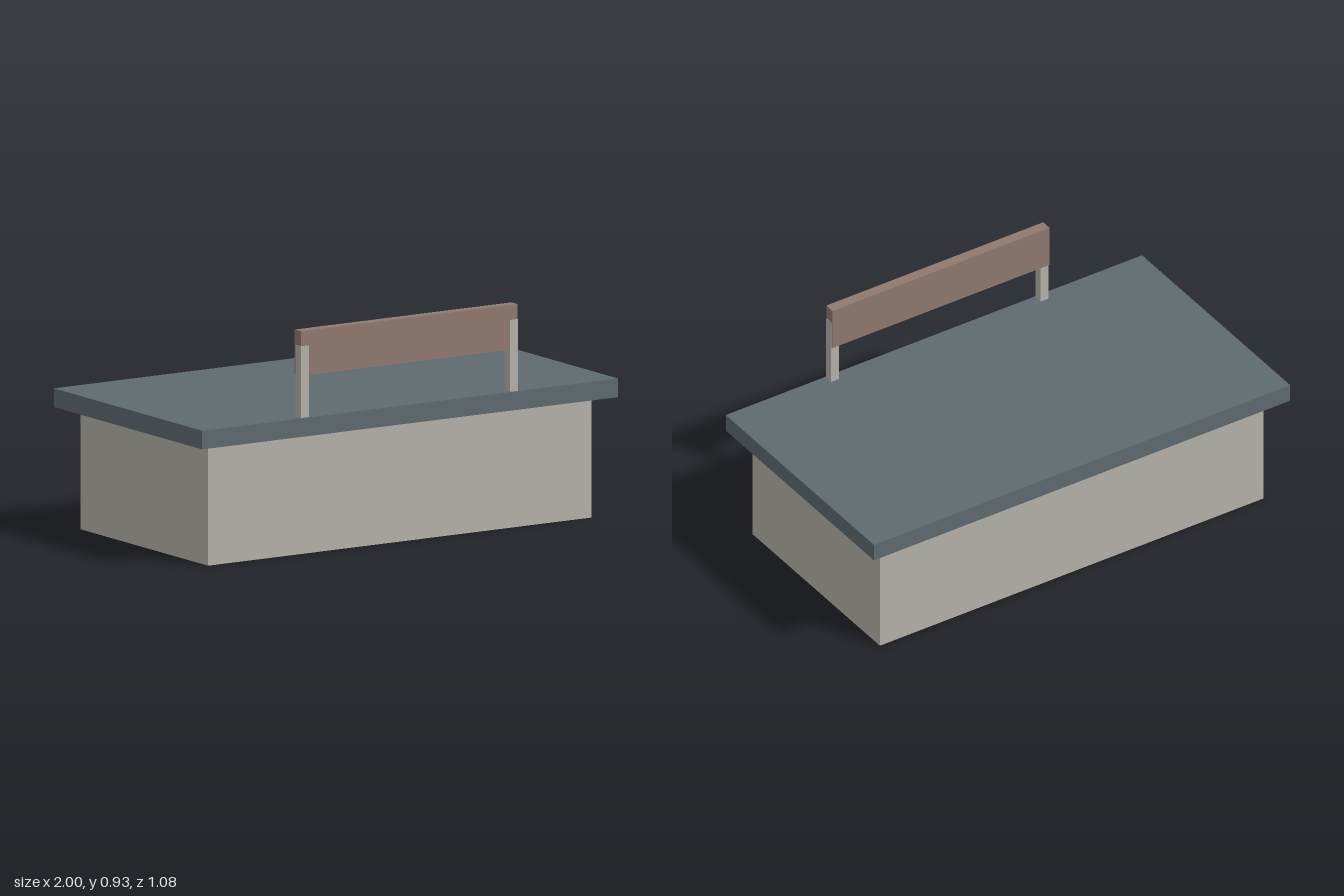
import * as THREE from 'three';

function makeMaterial(name, color) {
  const material = new THREE.MeshStandardMaterial({ color });
  material.name = name;
  return material;
}

// Box given by its minimum and maximum on each axis
function addBox(group, name, material, [x0, x1], [y0, y1], [z0, z1]) {
  const mesh = new THREE.Mesh(new THREE.BoxGeometry(x1 - x0, y1 - y0, z1 - z0), material);
  mesh.position.set((x0 + x1) / 2, (y0 + y1) / 2, (z0 + z1) / 2);
  mesh.name = name;
  group.add(mesh);
}

export function createModel() {
  const group = new THREE.Group();
  group.name = 'signedBuilding';
  const wall = makeMaterial('warm grey wall', 0xb5b2aa);
  const roof = makeMaterial('slate roof', 0x5f6b70);
  const board = makeMaterial('brown board', 0x907a70);

  // Building body and overhanging flat roof
  addBox(group, 'body', wall, [-0.922, 0.922], [0, 0.495], [-0.463, 0.463]);
  addBox(group, 'roofSlab', roof, [-1, 1], [0.495, 0.571], [-0.538, 0.538]);

  // Sign board along the front edge of the roof
  addBox(group, 'signBoard', board, [-0.521, 0.521], [0.742, 0.925], [0.487, 0.532]);

  // Posts, a hair proud of the board at the front and ends
  addBox(group, 'leftPost', wall, [0.484, 0.522], [0.571, 0.864], [0.495, 0.533]);
  addBox(group, 'rightPost', wall, [-0.522, -0.484], [0.571, 0.864], [0.495, 0.533]);

  return group;
}
